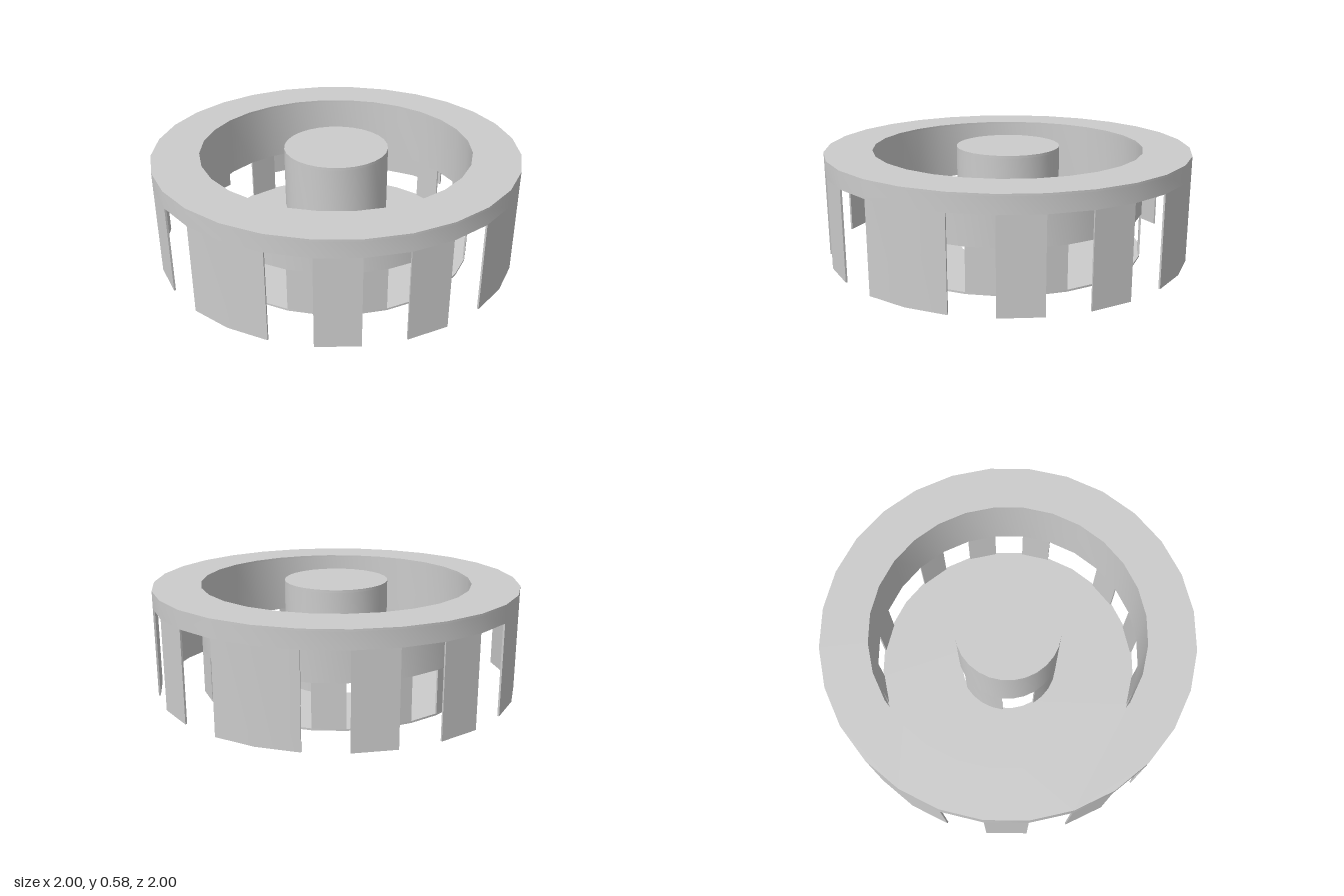
import * as THREE from 'three';
import { toCreasedNormals } from 'three/addons/utils/BufferGeometryUtils.js';

const SIDES = 28;            // facets in a full turn
const QUARTER = SIDES / 4;
const material = new THREE.MeshStandardMaterial({ color: 0xcccccc });

// Points on a faceted arc, counted in facets
function arc(radius, start, count) {
  return Array.from({ length: count + 1 }, (_, i) => {
    const a = ((start + i) / SIDES) * Math.PI * 2;
    return new THREE.Vector2(radius * Math.cos(a), radius * Math.sin(a));
  });
}

// Upright extrusion of a plan shape between two heights
function slab(name, shape, y0, y1) {
  const geo = new THREE.ExtrudeGeometry(shape, { depth: y1 - y0, bevelEnabled: false });
  geo.rotateX(-Math.PI / 2).translate(0, y0, 0);
  const mesh = new THREE.Mesh(toCreasedNormals(geo, Math.PI / 6), material);
  mesh.name = name;
  return mesh;
}

// Full ring, or a disc when the inner radius is zero
function ring(name, rIn, rOut, y0, y1) {
  const shape = new THREE.Shape(arc(rOut, 0, SIDES - 1));
  if (rIn > 0) shape.holes.push(new THREE.Path(arc(rIn, 0, SIDES - 1).reverse()));
  return slab(name, shape, y0, y1);
}

// Curved wall panels repeated in each quarter; runs are [first facet, facet count]
function panels(name, rIn, rOut, y0, y1, runs) {
  const group = new THREE.Group();
  group.name = name;
  for (let q = 0; q < 4; q++) {
    for (const [start, count] of runs) {
      const first = start + q * QUARTER;
      const shape = new THREE.Shape([...arc(rOut, first, count), ...arc(rIn, first, count).reverse()]);
      group.add(slab('panel', shape, y0, y1));
    }
  }
  return group;
}

export function createModel() {
  const model = new THREE.Group();
  model.name = 'slottedRingHousing';
  const t = 0.01, top = 0.58, slotTop = 0.485, innerSlotTop = 0.243;

  // Flat top rim joining the outer and inner walls
  model.add(ring('topRim', 0.743, 1, top - t, top));

  // Outer skirt with twelve slots
  model.add(ring('outerBand', 1 - t, 1, slotTop, top - t));
  model.add(panels('outerSkirt', 1 - t, 1, 0, slotTop, [[-1, 2], [2, 1], [4, 1]]));

  // Inner wall standing on legs that line up with the outer slots
  model.add(ring('innerBand', 0.743, 0.752, innerSlotTop, top - t));
  model.add(panels('innerLegs', 0.743, 0.752, t, innerSlotTop, [[1, 1], [3, 1], [5, 1]]));

  // Floor plate with the hub hole
  model.add(ring('floor', 0.275, 0.752, 0, t));

  // Hollow hub, closed on top, with four low windows
  model.add(ring('hubCap', 0, 0.285, top - t, top + 0.004));
  model.add(ring('hubBand', 0.275, 0.285, innerSlotTop, top - t));
  model.add(panels('hubLegs', 0.275, 0.285, t, innerSlotTop, [[-2, 4]]));

  return model;
}
